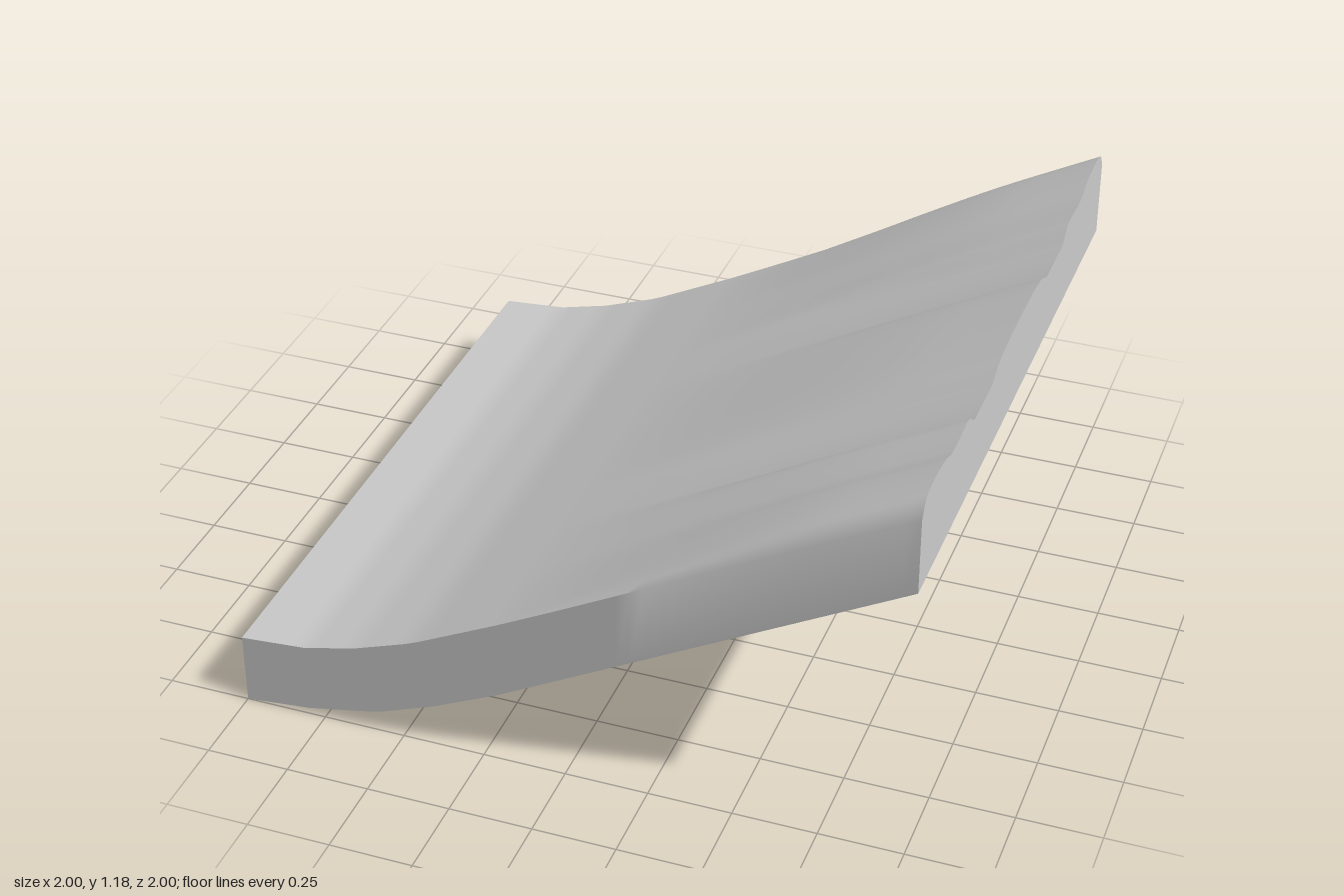
import * as THREE from 'three';
import { toCreasedNormals } from 'three/addons/utils/BufferGeometryUtils.js';

// Slab outline along x: upper and lower [x, y] points
const UPPER = [[-1, 0.225], [-0.8, 0.24], [-0.64, 0.28], [-0.46, 0.345], [-0.2, 0.475], [0, 0.58], [1, 1.11]];
const LOWER = [[-1, 0], [-0.8, 0.02], [-0.58, 0.065], [-0.4, 0.135], [-0.2, 0.23], [0, 0.34], [1, 0.89]];

// Ridge heights across half the width: [z, height]
const RIDGES = [[0, 0.046], [0.08, 0.045], [0.15, 0.042], [0.22, 0.034], [0.255, 0.024], [0.28, 0.01],
  [0.305, 0], [0.4, 0], [0.49, 0], [0.51, 0.011], [0.53, 0.029], [0.555, 0.042], [0.58, 0.043],
  [0.64, 0.039], [0.7, 0.037], [0.735, 0.042], [0.77, 0.056], [0.81, 0.065], [0.86, 0.069], [0.91, 0.07],
  [0.95, 0.064], [0.965, 0.058], [0.98, 0.046], [1, 0.011]];

function sample(points, x) {
  let i = 0;
  while (i < points.length - 2 && x > points[i + 1][0]) i++;
  const [x0, y0] = points[i], [x1, y1] = points[i + 1];
  return y0 + (y1 - y0) * (x - x0) / (x1 - x0);
}

function rampGeometry() {
  // Full width, mirrored, running from +z to -z
  const across = [...RIDGES].reverse().concat(RIDGES.slice(1).map(([z, h]) => [-z, h]));
  const m = across.length, n = 2 * m, steps = 50;
  const positions = [], index = [];
  const quad = (a, b, c, d) => index.push(a, b, c, a, c, d);

  // Closed cross-sections; the ridges fade in towards the high end
  for (let i = 0; i <= steps; i++) {
    const x = -1 + 2 * i / steps;
    const fade = THREE.MathUtils.smoothstep(x, -0.2, 0.8);
    for (const [z, h] of across) positions.push(x, sample(UPPER, x) + h * fade, z);
    for (let j = m - 1; j >= 0; j--) positions.push(x, sample(LOWER, x), across[j][0]);
  }
  for (let i = 0; i < steps; i++) {
    for (let j = 0; j < n; j++) {
      const k = (j + 1) % n;
      quad(i * n + j, (i + 1) * n + j, (i + 1) * n + k, i * n + k);
    }
  }
  // End caps
  const end = steps * n;
  for (let j = 0; j < m - 1; j++) {
    const low = n - 1 - j;
    quad(end + j, end + low, end + low - 1, end + j + 1);
    quad(j, j + 1, low - 1, low);
  }
  const geometry = new THREE.BufferGeometry();
  geometry.setAttribute('position', new THREE.Float32BufferAttribute(positions, 3));
  geometry.setIndex(index);
  return toCreasedNormals(geometry, Math.PI / 3);
}

export function createModel() {
  const group = new THREE.Group();
  group.name = 'ridgedRamp';
  const material = new THREE.MeshStandardMaterial({ color: 0xcccccc });
  material.name = 'lightGrey';
  const ramp = new THREE.Mesh(rampGeometry(), material);
  ramp.name = 'rampSlab';
  group.add(ramp);
  return group;
}
